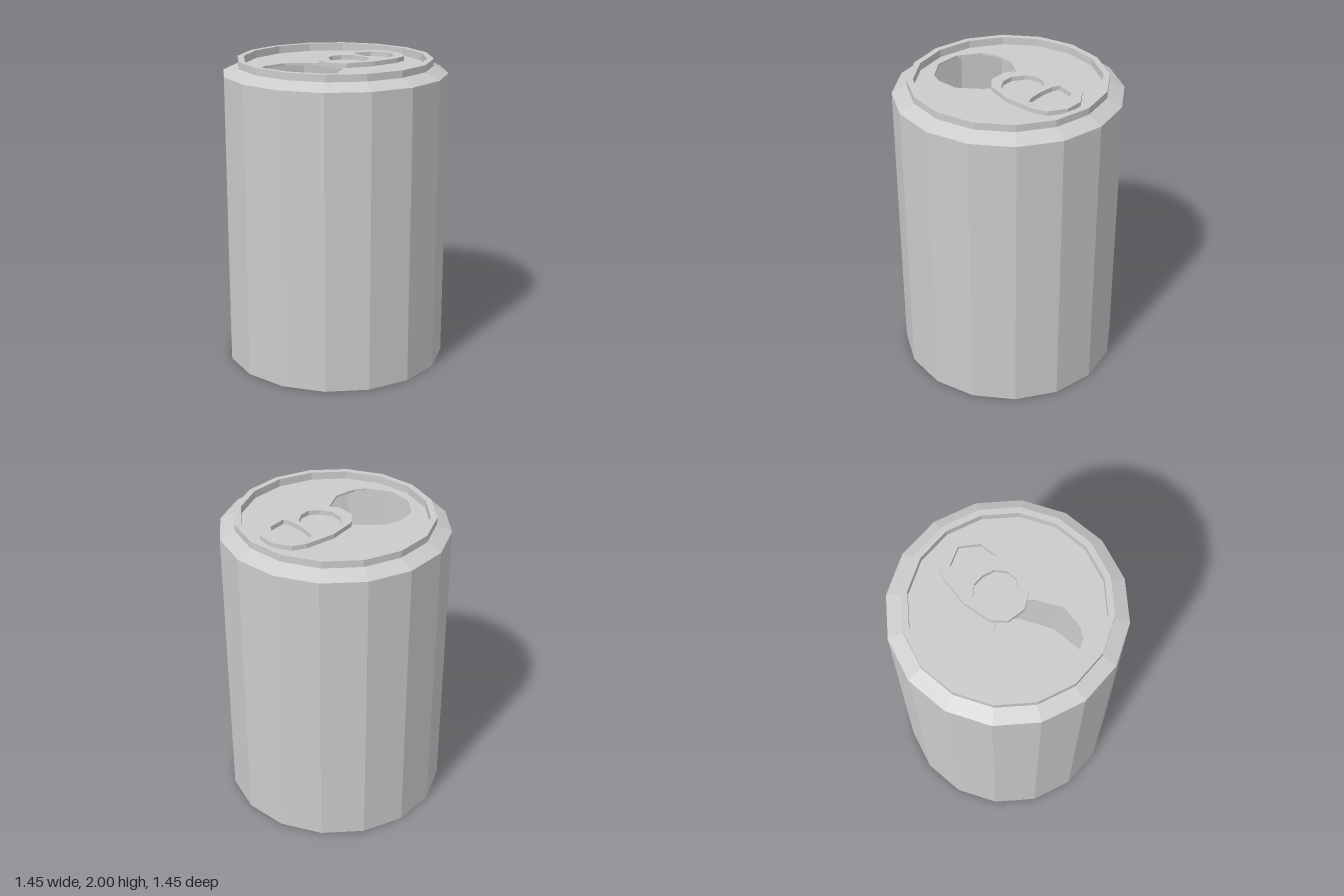
import * as THREE from 'three';

const SIDES = 16;
const LID_Y = 1.95;

const material = new THREE.MeshStandardMaterial({
  color: 0xcccccc, flatShading: true, side: THREE.DoubleSide,
});

const points = (list) => list.map(([x, z]) => new THREE.Vector2(x, z));

// Completes an outline given as its +x half, listed from back to front
const mirrored = (half) =>
  points([...half, ...half.filter(([x]) => x > 0).reverse().map(([x, z]) => [-x, z])]);

// Flat plate drawn in x/z, its top at y and its body going down by depth
function plate(name, outline, holes, y, depth) {
  const shape = new THREE.Shape(outline);
  for (const hole of holes) shape.holes.push(new THREE.Path(hole));
  const geometry = new THREE.ExtrudeGeometry(shape, { depth, bevelEnabled: false });
  geometry.rotateX(Math.PI / 2);
  const mesh = new THREE.Mesh(geometry, material);
  mesh.name = name;
  mesh.position.y = y;
  return mesh;
}

export function createModel() {
  const can = new THREE.Group();
  can.name = 'drinkCan';

  // Hollow body: base, wall, sloping shoulder and raised rim
  const profile = points([
    [0, 0], [0.725, 0], [0.725, 1.91], [0.63, 1.955],
    [0.63, 2], [0.59, 2], [0.59, LID_Y],
  ]);
  const body = new THREE.Mesh(new THREE.LatheGeometry(profile, SIDES), material);
  body.name = 'bodyAndRim';
  can.add(body);

  // Lid with the drinking opening
  const lidOutline = Array.from({ length: SIDES }, (_, i) => {
    const a = (i / SIDES) * Math.PI * 2;
    return new THREE.Vector2(Math.cos(a) * 0.59, Math.sin(a) * 0.59);
  });
  const opening = mirrored([
    [0.09, 0.02], [0.155, 0.07], [0.255, 0.21], [0.255, 0.355], [0.22, 0.43], [0.085, 0.525],
  ]);
  can.add(plate('lid', lidOutline, [opening], LID_Y, 0.015));

  // Pull tab with its finger hole and rivet hole
  const tabOutline = mirrored([
    [0.06, -0.52], [0.165, -0.45], [0.195, -0.36], [0.195, -0.16], [0.14, -0.02], [0.06, 0.085],
  ].map(([x, z]) => (z === -0.02 ? [x, 0.02] : [x, z])));
  const fingerHole = mirrored([
    [0, -0.475], [0.115, -0.405], [0.143, -0.29], [0.1, -0.268], [0, -0.26],
  ]);
  const rivetHole = mirrored([
    [0, -0.235], [0.075, -0.222], [0.13, -0.165], [0.143, -0.1], [0.108, -0.035], [0.04, 0.01],
  ]);
  can.add(plate('pullTab', tabOutline, [fingerHole, rivetHole], LID_Y + 0.03, 0.03));

  return can;
}
